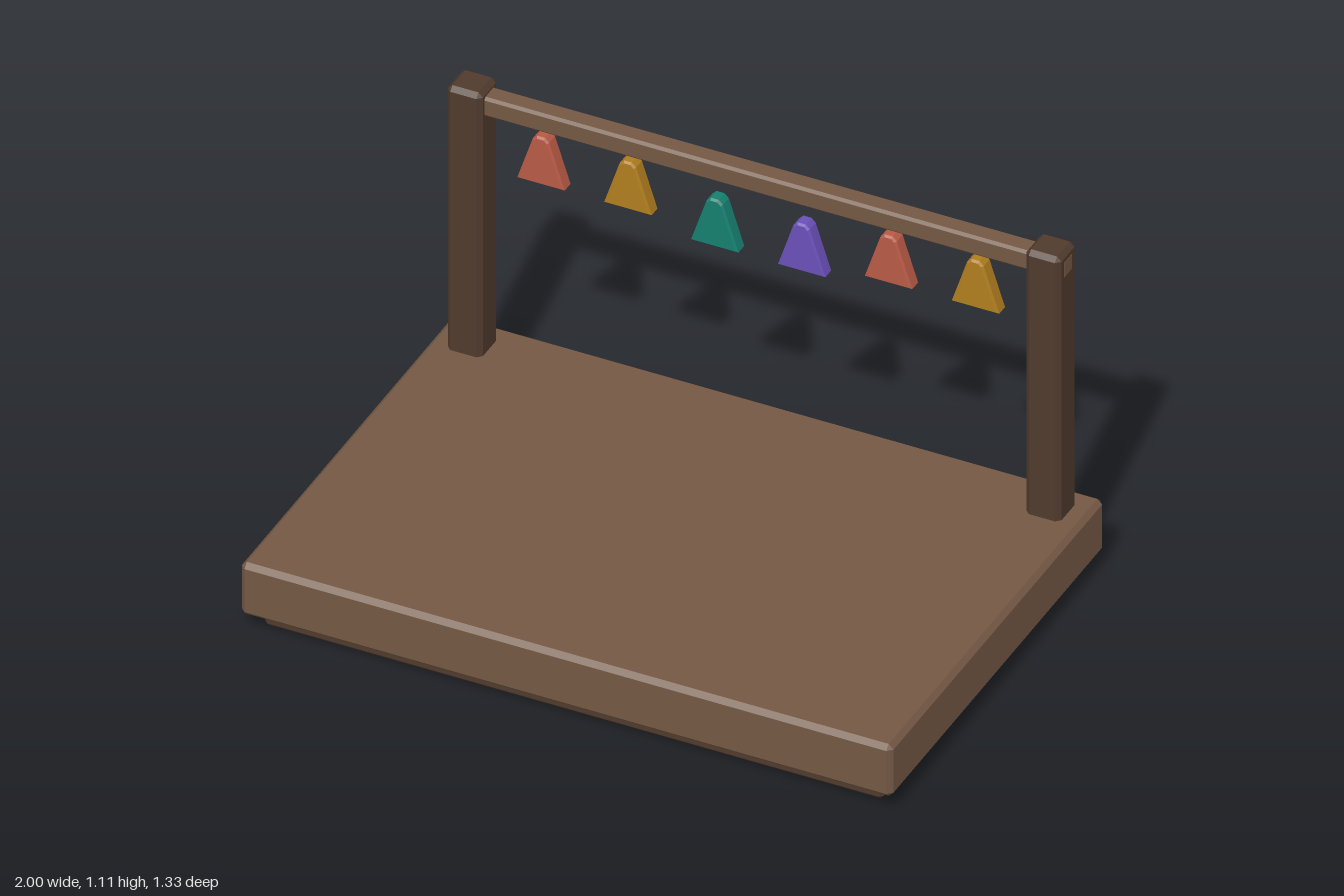
import * as THREE from 'three';
import { ConvexGeometry } from 'three/addons/geometries/ConvexGeometry.js';

const material = (color) => new THREE.MeshStandardMaterial({ color, flatShading: true });

// Box with chamfered edges: each corner is cut into three points
function chamferBox(w, h, d, c) {
  const points = [];
  for (const sx of [-1, 1]) for (const sy of [-1, 1]) for (const sz of [-1, 1]) {
    const x = w / 2, y = h / 2, z = d / 2;
    points.push(
      new THREE.Vector3(sx * x, sy * (y - c), sz * (z - c)),
      new THREE.Vector3(sx * (x - c), sy * y, sz * (z - c)),
      new THREE.Vector3(sx * (x - c), sy * (y - c), sz * z),
    );
  }
  return new ConvexGeometry(points);
}

// Tapered flag with a clipped top and a thin bevel, its top at y = 0
function pennantGeometry() {
  const b = 0.006;
  const shape = new THREE.Shape([
    [-0.066, -0.16 + b], [0.066, -0.16 + b], [0.02, -0.016], [0.01, -b],
    [-0.01, -b], [-0.02, -0.016],
  ].map(([x, y]) => new THREE.Vector2(x, y)));
  const depth = 0.048 - 2 * b;
  return new THREE.ExtrudeGeometry(shape, {
    depth, bevelEnabled: true, bevelSize: b, bevelThickness: b, bevelSegments: 1,
  }).translate(0, 0, -depth / 2);
}

export function createModel() {
  const model = new THREE.Group();
  const wood = material(0x745844);
  const darkWood = material(0x503a2d);
  const backZ = -0.557;

  const add = (name, geometry, mat, x, y, z) => {
    const mesh = new THREE.Mesh(geometry, mat);
    mesh.name = name;
    mesh.position.set(x, y, z);
    model.add(mesh);
  };

  // Platform on a recessed plinth
  add('plinth', chamferBox(1.9, 0.08, 1.24, 0.012), darkWood, 0, 0.04, 0);
  add('platform', chamferBox(2, 0.175, 1.333, 0.015), wood, 0, 0.1375, 0);

  // Two posts carrying the crossbeam
  const post = chamferBox(0.108, 0.91, 0.108, 0.014);
  for (const [name, side] of [['leftPost', 1], ['rightPost', -1]]) {
    add(name, post, darkWood, side * 0.888, 0.655, backZ);
  }
  add('crossbeam', chamferBox(1.886, 0.064, 0.064, 0.008), wood, 0, 1.058, backZ);

  // Row of hanging pennants, the middle pair lower
  const colors = [0xb85a46, 0xb07d1e, 0x16806f, 0x6a50b8].map(material);
  const pennant = pennantGeometry();
  for (let i = 0; i < 6; i++) {
    const y = i === 2 || i === 3 ? 0.96 : 1.003;
    add('pennant' + (i + 1), pennant, colors[i % 4], (i - 2.5) * 0.2667, y, backZ);
  }
  return model;
}
